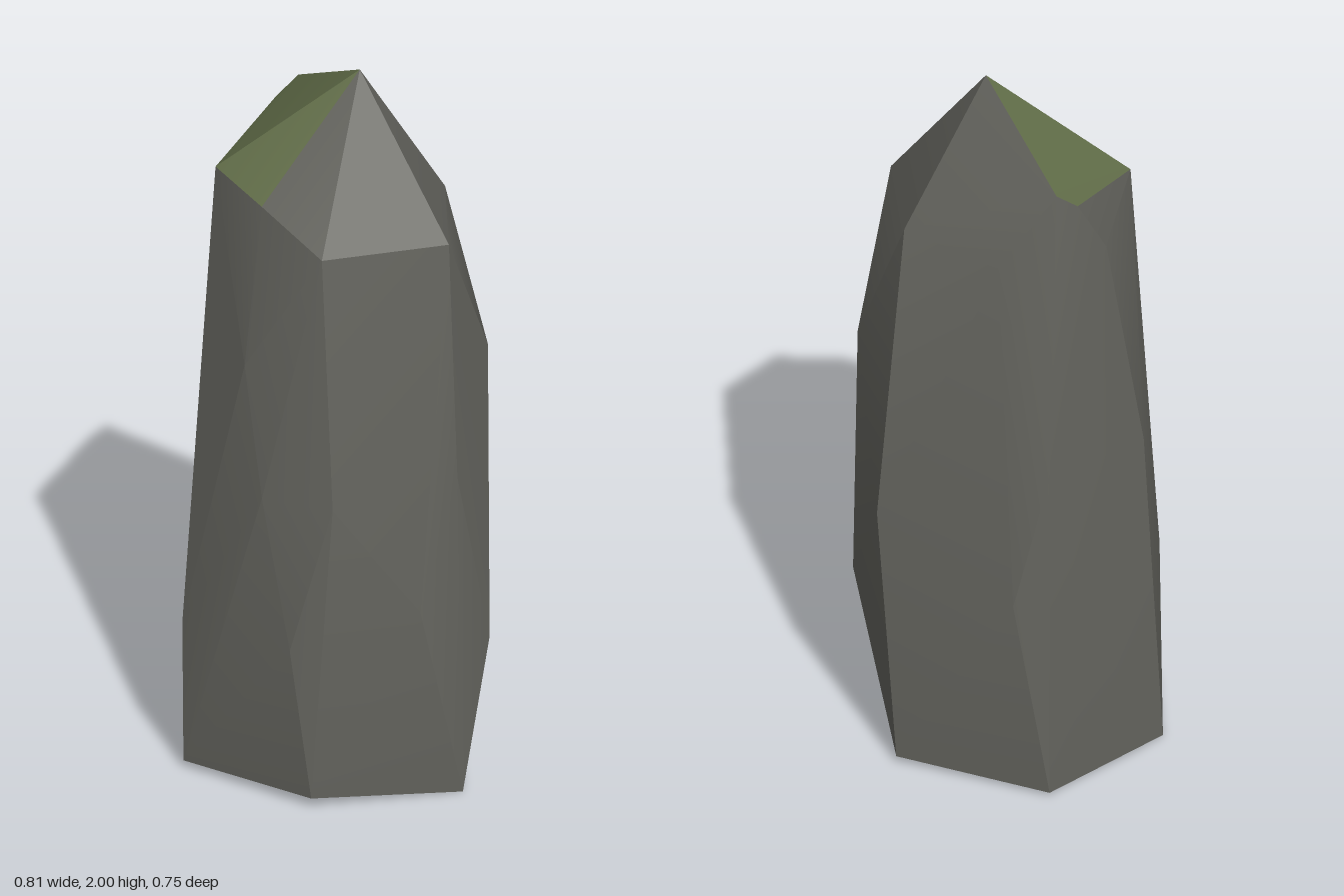
import * as THREE from 'three';
import { ConvexGeometry } from 'three/addons/geometries/ConvexGeometry.js';
import { toCreasedNormals } from 'three/addons/utils/BufferGeometryUtils.js';

// Corners of the standing stone, from the ground up
const base = [
  [-0.41, 0.01, 0.09], [-0.27, 0.02, 0.32], [0.13, 0.03, 0.325],
  [0.405, 0, 0.03], [0.14, 0.02, -0.34], [-0.28, 0.01, -0.28],
];
const lower = [
  [-0.27, 0.43, 0.325], [0.09, 0.47, 0.365], [0.36, 0.57, 0.16],
  [0.395, 0.39, -0.11], [-0.2, 0.6, -0.33], [-0.345, 0.4, -0.13],
];
const middle = [
  [0.01, 0.9, 0.375], [0.2, 0.9, 0.33], [0.388, 0.92, 0.03], [0.34, 1.2, -0.185],
  [0.175, 0.8, -0.38], [-0.28, 1.0, -0.28], [-0.37, 0.95, 0.06], [-0.07, 1.25, 0.335],
];
const shoulder = [
  [0.14, 1.6, 0.29], [0.355, 1.59, 0.02], [0.18, 1.6, -0.225],
  [-0.12, 1.6, -0.265], [-0.315, 1.6, -0.04],
];
// Mossy facet on one side of the tip
const mossy = [
  [0.055, 2, -0.015], [-0.245, 1.82, -0.18], [-0.28, 1.77, -0.13],
  [-0.27, 1.7, 0.17], [-0.07, 1.68, 0.255],
];

// Pick the triangles that pass a test into a new geometry
function pickTriangles(source, test) {
  const pos = source.attributes.position, nor = source.attributes.normal;
  const p = [], n = [];
  for (let i = 0; i < pos.count; i += 3) {
    const corners = [i, i + 1, i + 2];
    if (!test(corners.map((k) => new THREE.Vector3().fromBufferAttribute(pos, k)))) continue;
    for (const k of corners) {
      p.push(pos.getX(k), pos.getY(k), pos.getZ(k));
      n.push(nor.getX(k), nor.getY(k), nor.getZ(k));
    }
  }
  const geometry = new THREE.BufferGeometry();
  geometry.setAttribute('position', new THREE.Float32BufferAttribute(p, 3));
  geometry.setAttribute('normal', new THREE.Float32BufferAttribute(n, 3));
  return geometry;
}

export function createModel() {
  const group = new THREE.Group();
  group.name = 'standingStone';

  const toVector = (c) => new THREE.Vector3(...c);
  const points = [...base, ...lower, ...middle, ...shoulder, ...mossy].map(toVector);
  const hull = toCreasedNormals(new ConvexGeometry(points), THREE.MathUtils.degToRad(22));

  const mossCorners = mossy.map(toVector);
  const isMoss = (tri) => tri.every((v) => mossCorners.some((m) => m.distanceTo(v) < 1e-4));

  const addPart = (name, color, test) => {
    const mesh = new THREE.Mesh(pickTriangles(hull, test), new THREE.MeshStandardMaterial({ color }));
    mesh.name = name;
    group.add(mesh);
  };
  addPart('stoneBody', 0x65655f, (tri) => !isMoss(tri));
  addPart('mossPatch', 0x636f4a, isMoss);
  return group;
}
